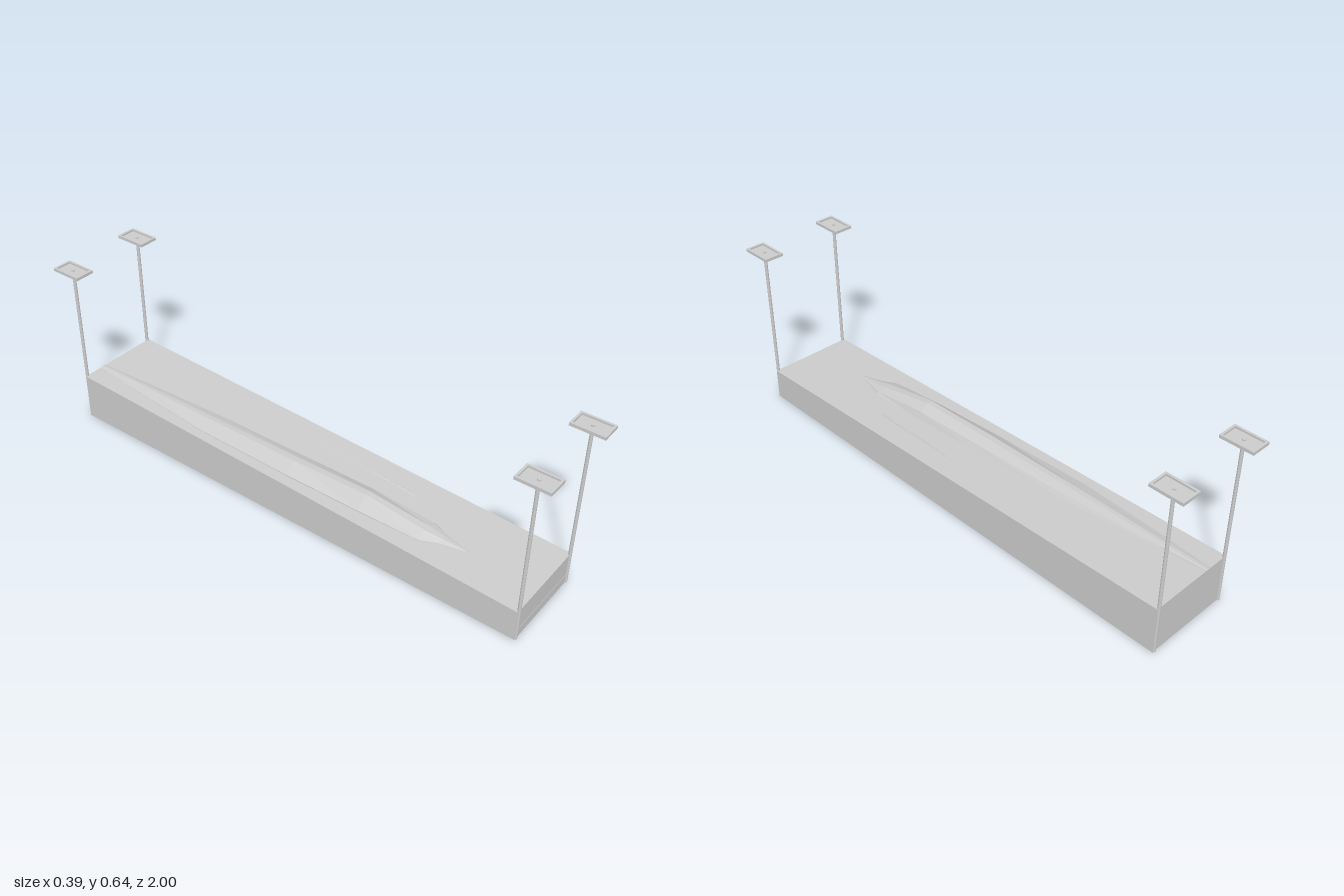
import * as THREE from 'three';

const grey = new THREE.MeshStandardMaterial({ color: 0xcccccc });
const faceted = new THREE.MeshStandardMaterial({ color: 0xcccccc, flatShading: true, side: THREE.DoubleSide });

// Height of the sloping slab top at depth z
const slabTop = z => 0.149 - 0.033 * z;

function add(parent, name, geometry, x = 0, y = 0, z = 0, material = grey) {
  const mesh = new THREE.Mesh(geometry, material);
  mesh.name = name;
  mesh.position.set(x, y, z);
  parent.add(mesh);
  return mesh;
}

// Skin over sections given back to front: [z, left, right, crestLeft, crestRight, crestHeight]
function mound(sections) {
  const pos = [], index = [], n = 6;
  for (const [z, l, r, cl, cr, top] of sections) {
    const base = slabTop(z), rise = Math.max(top - base, 0);
    const row = [
      [l, base - 0.004], [l, base + rise * 0.08],
      [cl, base + rise], [cr, base + rise],
      [cr + (r - cr) * 0.7, base + rise * 0.55], [r, base - 0.004],
    ];
    row.forEach(([x, y]) => pos.push(x, y, z));
  }
  for (let i = 0; i < sections.length - 1; i++) {
    for (let j = 0; j < n - 1; j++) {
      const a = i * n + j, b = a + 1, c = a + n, d = c + 1;
      index.push(a, c, b, b, c, d);
    }
  }
  const g = new THREE.BufferGeometry();
  g.setAttribute('position', new THREE.Float32BufferAttribute(pos, 3));
  g.setIndex(index);
  g.computeVertexNormals();
  return g;
}

// Shallow tray with a raised rim, its floor at y = 0
function hangerPlate() {
  const w = 0.075, d = 0.12, h = 0.011, t = 0.008;
  const plate = new THREE.Group();
  plate.name = 'hangerPlate';
  add(plate, 'plateFloor', new THREE.BoxGeometry(w, 0.004, d), 0, 0.002, 0);
  for (const s of [-1, 1]) {
    add(plate, 'plateSideRim', new THREE.BoxGeometry(t, h, d), s * (w - t) / 2, h / 2, 0);
    add(plate, 'plateEndRim', new THREE.BoxGeometry(w - 2 * t, h, t), 0, h / 2, s * (d - t) / 2);
  }
  return plate;
}

export function createModel() {
  const model = new THREE.Group();
  model.name = 'suspendedSlab';

  // Wedge-shaped slab, thin at the front and thick at the back
  const profile = new THREE.Shape();
  profile.moveTo(-0.94, 0);
  profile.lineTo(0.94, 0);
  profile.lineTo(0.94, slabTop(0.94));
  profile.lineTo(-0.94, slabTop(-0.94));
  profile.closePath();
  const slab = new THREE.ExtrudeGeometry(profile, { depth: 0.334, bevelEnabled: false });
  slab.translate(0, 0, -0.167);
  slab.rotateY(-Math.PI / 2);
  add(model, 'slab', slab);

  // Low strip on the front end
  add(model, 'frontStrip', new THREE.BoxGeometry(0.33, 0.035, 0.002), 0, 0.0175, 0.94);

  // Long faceted ridge rising from the slab
  add(model, 'ridge', mound([
    [-0.94, -0.09, -0.065, -0.08, -0.072, 0.183],
    [-0.70, -0.11, -0.042, -0.08, -0.068, 0.183],
    [-0.40, -0.13, -0.018, -0.08, -0.062, 0.183],
    [0.00, -0.125, -0.005, -0.078, -0.055, 0.183],
    [0.30, -0.115, 0.004, -0.07, -0.048, 0.183],
    [0.53, -0.1, 0.007, -0.062, -0.035, 0.148],
    [0.59, -0.07, -0.015, -0.052, -0.035, 0.138],
    [0.68, -0.043, -0.04, -0.042, -0.041, 0.127],
  ]), 0, 0, 0, faceted);

  // Narrow sliver beside the ridge
  add(model, 'sliver', mound([
    [-0.02, 0.086, 0.088, 0.0865, 0.0875, 0.15],
    [0.20, 0.077, 0.084, 0.08, 0.082, 0.146],
    [0.38, 0.07, 0.08, 0.074, 0.077, 0.14],
    [0.42, 0.07, 0.075, 0.072, 0.073, 0.136],
  ]), 0, 0, 0, faceted);

  // Corner rods, each topped by a hanger plate
  for (const sx of [-1, 1]) {
    for (const sz of [-1, 1]) {
      const x = sx * 0.159, z = sz * 0.94;
      add(model, 'rod', new THREE.CylinderGeometry(0.006, 0.006, 0.635, 16), x, 0.3175, z);
      const plate = hangerPlate();
      plate.position.set(x, 0.626, z);
      model.add(plate);
    }
  }
  return model;
}
